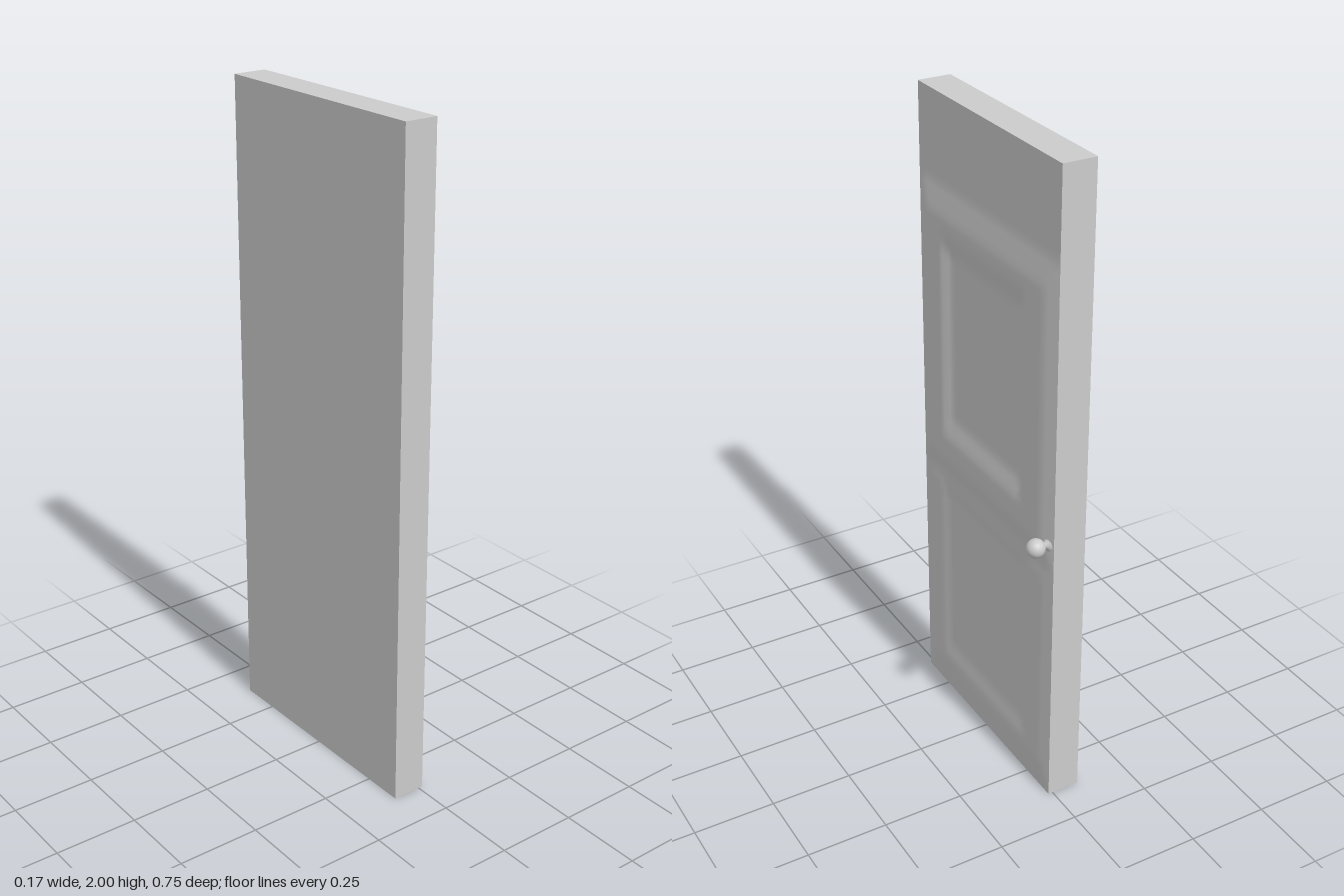
import * as THREE from 'three';

const FACE = 0.014, BACK = -0.088;
const ramp = (d, w) => THREE.MathUtils.clamp(d / w, 0, 1);

// 0 outside a rectangle, rising to 1 inside over the given margins
function plateau(y, z, halfZ, y0, y1, mz, my) {
  return Math.min(ramp(halfZ - Math.abs(z), mz), ramp(y - y0, my), ramp(y1 - y, my));
}

// Raised frame with a sunken field, for the upper and the lower panel
function relief(y, z) {
  const upper = 0.015 * plateau(y, z, 0.375, 0.79, 1.74, 0.055, 0.09)
    - 0.018 * plateau(y, z, 0.23, 0.95, 1.61, 0.04, 0.08);
  const lower = 0.008 * plateau(y, z, 0.375, 0, 0.86, 0.055, 0.1)
    - 0.01 * plateau(y, z, 0.26, 0.12, 0.8, 0.05, 0.08);
  return Math.max(upper, lower * (y < 0.86 ? 1 : 0));
}

export function createModel() {
  const group = new THREE.Group();
  const material = new THREE.MeshStandardMaterial({ color: 0xcccccc });

  // Door slab, with the relief pushed out of its +x face
  const slab = new THREE.BoxGeometry(FACE - BACK, 2, 0.75, 1, 100, 40);
  slab.translate((FACE + BACK) / 2, 1, 0);
  const pos = slab.attributes.position, normal = slab.attributes.normal;
  for (let i = 0; i < pos.count; i++) {
    if (normal.getX(i) > 0.5) pos.setX(i, FACE + relief(pos.getY(i), pos.getZ(i)));
  }
  slab.computeVertexNormals();
  const door = new THREE.Mesh(slab, material);
  door.name = 'doorSlab';
  group.add(door);

  // Door knob on a flared neck
  const knob = new THREE.Group();
  knob.name = 'doorKnob';
  knob.position.set(0.056, 0.885, -0.347);
  const ball = new THREE.Mesh(new THREE.SphereGeometry(0.028, 32, 20), material);
  ball.name = 'knobBall';
  const profile = [[0.024, -0.044], [0.02, -0.036], [0.01, -0.03], [0.009, -0.02]]
    .map(([r, h]) => new THREE.Vector2(r, h));
  const neck = new THREE.Mesh(new THREE.LatheGeometry(profile, 24), material);
  neck.name = 'knobNeck';
  neck.rotation.z = -Math.PI / 2;
  knob.add(ball, neck);
  group.add(knob);

  return group;
}
